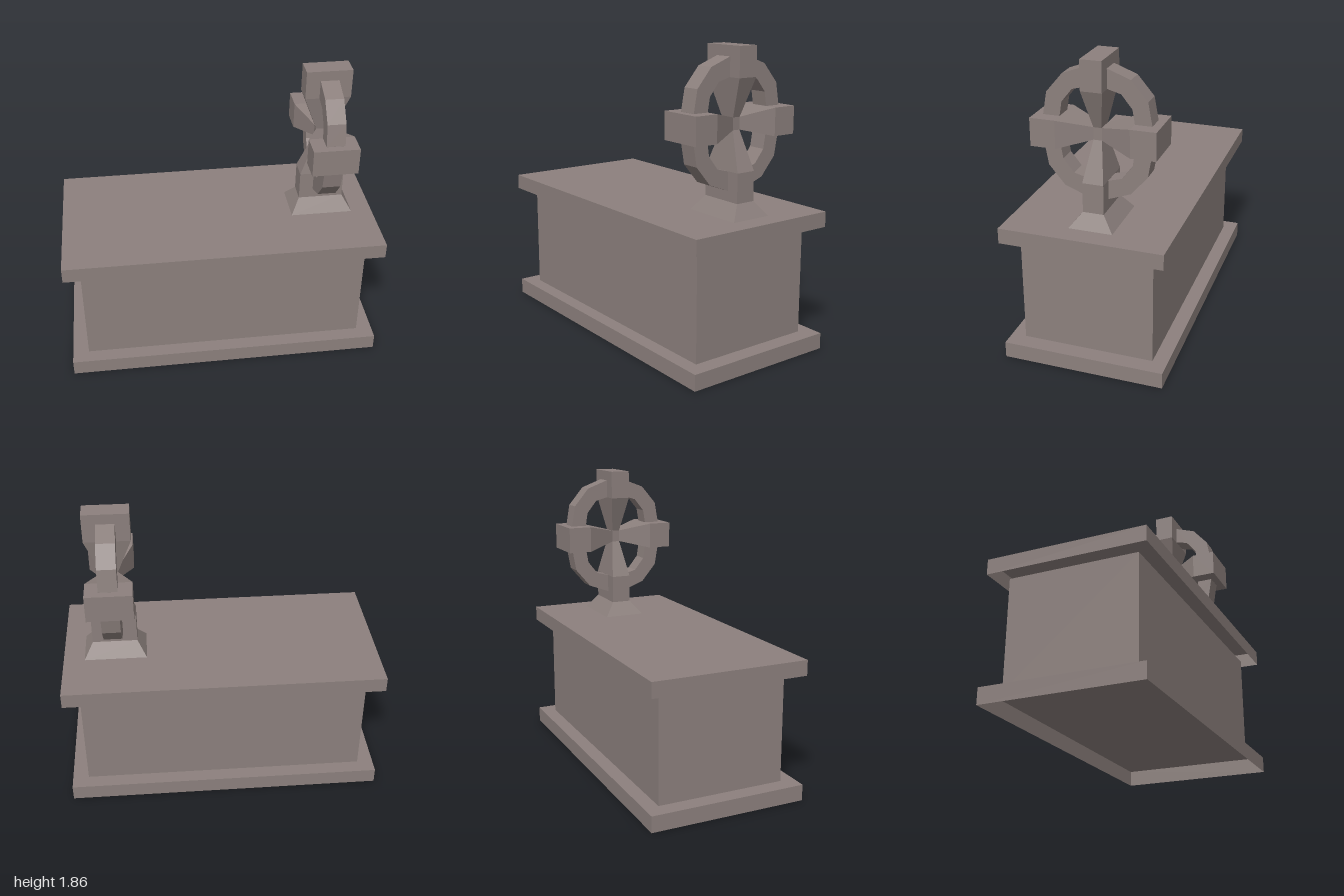
import * as THREE from 'three';

const stone = new THREE.MeshStandardMaterial({ color: 0x8c807d, flatShading: true, side: THREE.DoubleSide });

function part(name, geometry, x = 0, y = 0, z = 0) {
  const mesh = new THREE.Mesh(geometry, stone);
  mesh.name = name;
  mesh.position.set(x, y, z);
  return mesh;
}

// Slab without an underside, like a shallow upturned tray
function openSlab(w, h, d) {
  const g = new THREE.BoxGeometry(w, h, d);
  const index = Array.from(g.index.array);
  index.splice(18, 6);
  g.setIndex(index);
  g.clearGroups();
  return g;
}

// Rectangular loft along +y; each section is [y, halfX, halfZ]
function loft(sections) {
  const n = sections.length - 1;
  const g = new THREE.BoxGeometry(1, 1, 1, 1, n, 1);
  const p = g.attributes.position;
  for (let i = 0; i < p.count; i++) {
    const [y, hx, hz] = sections[Math.round((p.getY(i) + 0.5) * n)];
    p.setXYZ(i, Math.sign(p.getX(i)) * hx, y, Math.sign(p.getZ(i)) * hz);
  }
  const flat = g.toNonIndexed();
  flat.computeVertexNormals();
  return flat;
}

// One faceted quarter of the ring, in the z-y plane
function ringQuarter(sz, sy) {
  const outline = [
    [0.04, 0.39], [0.064, 0.387], [0.2, 0.336], [0.298, 0.22], [0.322, 0.085], [0.322, 0.06],
    [0.222, 0.06], [0.222, 0.085], [0.208, 0.17], [0.144, 0.25], [0.064, 0.272], [0.04, 0.272],
  ];
  const shape = new THREE.Shape(outline.map(([z, y]) => new THREE.Vector2(z * sz, y * sy)));
  const g = new THREE.ExtrudeGeometry(shape, { depth: 0.114, bevelEnabled: false });
  g.translate(0, 0, -0.057);
  return g.rotateY(-Math.PI / 2);
}

export function createModel() {
  const model = new THREE.Group();
  model.name = 'tomb';

  // Chest with projecting plinth and lid
  model.add(part('plinth', openSlab(2, 0.1, 0.99), 0, 0.05, 0));
  model.add(part('chest', new THREE.BoxGeometry(1.795, 0.68, 0.81), 0, 0.438, 0));
  model.add(part('lid', openSlab(2, 0.095, 0.99), 0, 0.825, 0));

  // Ringed cross standing on the lid
  const cross = new THREE.Group();
  cross.name = 'ringedCross';
  cross.position.set(0.671, 1.411, -0.019);
  model.add(cross);

  cross.add(part('hub', new THREE.BoxGeometry(0.1, 0.075, 0.05)));

  // Upper arm, and lower arm flaring into its foot
  const upright = [[0.0375, 0.05, 0.025], [0.271, 0.141, 0.063], [0.45, 0.141, 0.063]];
  cross.add(part('upperArm', loft(upright)));
  cross.add(part('lowerArm', loft([...upright, [0.539, 0.197, 0.133]]).rotateX(Math.PI)));

  // Side arms
  const side = [[0.025, 0.05, 0.0375], [0.22, 0.141, 0.084], [0.371, 0.141, 0.084]];
  cross.add(part('frontArm', loft(side).rotateX(Math.PI / 2)));
  cross.add(part('backArm', loft(side).rotateX(-Math.PI / 2)));

  // Ring quarters between the arms
  for (const sz of [-1, 1]) {
    for (const sy of [-1, 1]) {
      cross.add(part('ringQuarter', ringQuarter(sz, sy), 0.003));
    }
  }
  return model;
}
